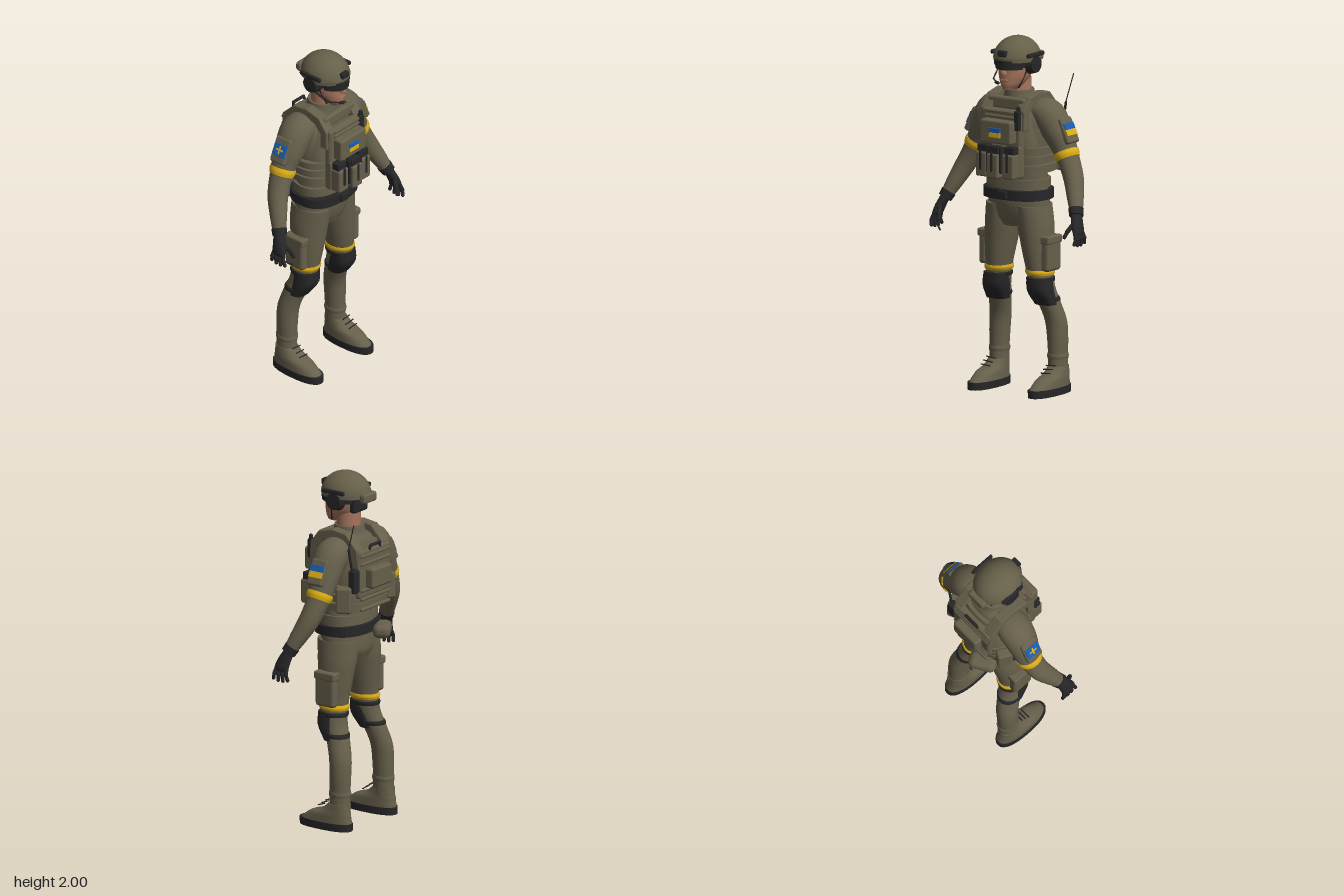
import * as THREE from 'three';
import { RoundedBoxGeometry } from 'three/addons/geometries/RoundedBoxGeometry.js';

const material = (name, color) => Object.assign(new THREE.MeshStandardMaterial({ color }), { name });

export function createModel() {
  const model = new THREE.Group();
  model.name = 'soldier';
  const olive = material('olive cloth', 0x665f4b), black = material('black gear', 0x262628);
  const skin = material('skin', 0xa5745c), yellow = material('yellow tape', 0xdcae16), blue = material('patch blue', 0x1a5cb4);
  const shell = material('helmet olive', 0x666049);
  shell.side = THREE.DoubleSide;

  const add = (name, geo, mat, parent = model) => {
    const mesh = new THREE.Mesh(geo, mat);
    mesh.name = name;
    parent.add(mesh);
    return mesh;
  };
  const box = (name, mat, [x, y, z], [w, h, d], r = 0.008, parent = model) => {
    const m = add(name, new RoundedBoxGeometry(w, h, d, 2, Math.min(r, w / 2.1, h / 2.1, d / 2.1)), mat, parent);
    m.position.set(x, y, z);
    return m;
  };
  const rod = (name, mat, a, b, r) => {
    const p = new THREE.Vector3(...a), q = new THREE.Vector3(...b), d = q.clone().sub(p);
    const m = add(name, new THREE.CapsuleGeometry(r, d.length(), 4, 10), mat);
    m.position.copy(p).add(q).multiplyScalar(0.5);
    m.quaternion.setFromUnitVectors(new THREE.Vector3(0, 1, 0), d.normalize());
    return m;
  };

  // Skin over [x, y, z, rx, rz] cross-sections listed from top to bottom
  const loft = (name, mat, secs, { pow = 2, tilt = false, steps = 4, n = 32 } = {}) => {
    const path = new THREE.CatmullRomCurve3(secs.map(s => new THREE.Vector3(s[0], s[1], s[2])), false, 'centripetal');
    const radii = new THREE.CatmullRomCurve3(secs.map(s => new THREE.Vector3(s[3], s[4], 0)), false, 'catmullrom', 0.4);
    const count = (secs.length - 1) * steps, pos = [], idx = [], down = new THREE.Vector3(0, -1, 0);
    const soft = v => Math.sign(v) * Math.abs(v) ** (2 / pow);
    for (let i = 0; i <= count; i++) {
      const c = path.getPoint(i / count), r = radii.getPoint(i / count);
      const q = new THREE.Quaternion();
      if (tilt) q.setFromUnitVectors(down, path.getTangent(i / count));
      for (let j = 0; j < n; j++) {
        const a = j / n * Math.PI * 2;
        const v = new THREE.Vector3(soft(Math.cos(a)) * r.x, 0, soft(Math.sin(a)) * r.y).applyQuaternion(q).add(c);
        pos.push(v.x, v.y, v.z);
        if (i < count) {
          const k = i * n + j, l = i * n + (j + 1) % n;
          idx.push(k, l, k + n, l, l + n, k + n);
        }
      }
    }
    // separate cap rings keep the end edges crisp
    for (const [row, flip] of [[0, false], [count, true]]) {
      const base = pos.length / 3, c = path.getPoint(row / count);
      for (let j = 0; j < n * 3; j++) { if (j < n * 3) pos.push(pos[row * n * 3 + j]); if (j === n * 3 - 1) break; }
      pos.push(c.x, c.y, c.z);
      for (let j = 0; j < n; j++) {
        const k = base + j, l = base + (j + 1) % n;
        idx.push(base + n, flip ? k : l, flip ? l : k);
      }
    }
    const g = new THREE.BufferGeometry();
    g.setAttribute('position', new THREE.Float32BufferAttribute(pos, 3));
    g.setIndex(idx);
    g.computeVertexNormals();
    return add(name, g, mat);
  };
  const side = (s, secs) => secs.map(([x, ...rest]) => [x * s, ...rest]);

  // Head and neck
  loft('head', skin, [[0, 1.93, .02, .085, .11], [0, 1.86, .022, .09, .115], [0, 1.79, .03, .083, .108], [0, 1.745, .048, .064, .09], [0, 1.71, .075, .035, .055]]);
  loft('neck', skin, [[0, 1.79, -.005, .066, .068], [0, 1.62, -.005, .07, .07]]);
  loft('nose', skin, [[0, 1.85, .13, .01, .012], [0, 1.815, .14, .015, .022], [0, 1.8, .138, .018, .02]], { n: 12 });
  box('lips', skin, [0, 1.765, .132], [.045, .014, .016]);

  // Helmet with rim, mount, rails and counterweight
  const dome = add('helmet', new THREE.SphereGeometry(1, 40, 20, 0, Math.PI * 2, 0, Math.PI * .5), shell);
  dome.scale.set(.126, .125, .146);
  dome.position.set(0, 1.875, .012);
  loft('helmetRim', olive, [[0, 1.89, .012, .127, .147], [0, 1.868, .01, .127, .146]]);
  box('helmetMount', black, [0, 1.918, .152], [.055, .035, .03]);
  box('helmetCounterweight', olive, [0, 1.872, -.14], [.12, .055, .04], .015);
  loft('headBand', black, [[0, 1.875, .015, .1, .118], [0, 1.835, .015, .1, .12]]);
  box('napePad', black, [0, 1.825, -.075], [.13, .09, .04], .015);
  const lens = add('goggles', new THREE.CylinderGeometry(1, .96, .052, 24, 1, false, -1.15, 2.3), black);
  lens.scale.set(.1, 1, .145);
  lens.position.set(0, 1.853, .023);
  for (const s of [-1, 1]) {
    const cup = add('earCup', new THREE.CylinderGeometry(.046, .057, .04, 24), black);
    cup.rotation.z = -s * Math.PI / 2;
    cup.position.set(s * .11, 1.85, .008);
    box('helmetRail', black, [s * .123, 1.905, .01], [.02, .025, .15]);
    rod('chinStrap', black, [s * .09, 1.83, .04], [s * .055, 1.725, .07], .006);
  }
  rod('microphoneBoom', black, [-.115, 1.81, .03], [-.085, 1.765, .12], .004);
  rod('microphoneBoom', black, [-.085, 1.765, .12], [-.03, 1.752, .158], .004);
  rod('microphone', black, [-.04, 1.754, .155], [-.022, 1.752, .16], .009);

  // Jacket, collar and hips
  loft('jacket', olive, [[0, 1.70, -.01, .078, .085], [0, 1.66, -.012, .09, .092], [0, 1.62, -.02, .16, .105], [0, 1.55, -.01, .195, .125], [0, 1.42, 0, .19, .135], [0, 1.28, 0, .175, .13], [0, 1.18, -.005, .178, .125], [0, 1.08, -.005, .188, .13], [0, 1, -.012, .18, .122], [0, .94, -.012, .1, .1]]);
  loft('jacketHem', olive, [[0, 1.21, -.003, .188, .132], [0, 1.16, -.003, .188, .134]], { pow: 2.4 });
  loft('belt', black, [[0, 1.15, 0, .2, .152], [0, 1.095, 0, .2, .152]], { pow: 2.5 });
  box('beltBuckle', black, [0, 1.122, .152], [.06, .05, .02]);
  box('hipPouch', olive, [-.084, 1.1, -.175], [.16, .08, .1], .035).rotation.y = .55;

  // Plate carrier
  loft('vest', olive, [[0, 1.62, -.02, .125, .125], [0, 1.54, -.02, .155, .148], [0, 1.4, -.02, .178, .158], [0, 1.24, -.02, .175, .152]], { pow: 3.5, n: 48 });
  for (const y of [1.275, 1.325, 1.375]) loft('cummerbund', olive, [[0, y + .02, -.02, .212, .166], [0, y - .02, -.02, .21, .166]], { pow: 2.8, steps: 1, n: 48 });
  const arch = new THREE.Shape([[.148, 1.5], [.145, 1.6], [.09, 1.67], [0, 1.692], [-.09, 1.68], [-.165, 1.6], [-.18, 1.5], [-.14, 1.5], [-.13, 1.58], [-.07, 1.64], [0, 1.655], [.07, 1.63], [.11, 1.58], [.11, 1.5]].map(p => new THREE.Vector2(...p)));
  for (const s of [-1, 1]) {
    const strap = add('shoulderStrap', new THREE.ExtrudeGeometry(arch, { depth: .05, bevelSize: .006, bevelThickness: .006, bevelSegments: 2 }), olive);
    strap.rotation.y = -Math.PI / 2;
    strap.position.x = s * .118 + .025;
    box('sidePouch', olive, [s * .205, 1.325, -.125], [.06, .15, .09], .015).rotation.y = s * .5;
  }
  box('collarGuard', olive, [0, 1.635, .1], [.25, .07, .04], .015);
  box('chestPlate', olive, [0, 1.49, .145], [.27, .24, .05], .02);
  box('adminPouch', olive, [0, 1.487, .19], [.21, .13, .065], .012);
  for (const y of [1.567, 1.595]) box('chestWebbing', olive, [0, y, .17], [.21, .018, .016]);
  box('chestPatchTop', blue, [0, 1.497, .225], [.076, .027, .008], .002);
  box('chestPatchBottom', yellow, [0, 1.47, .225], [.076, .027, .008], .002);
  box('pouchPanel', olive, [0, 1.32, .15], [.27, .18, .05], .012);
  for (const x of [-.09, 0, .09]) {
    const d = x ? 0 : .022;
    box('magazinePouch', olive, [x, 1.3, .195 + d], [.078, .14, .075], .012);
    box('magazineTop', black, [x, 1.388, .195 + d], [.07, .045, .05], .006);
    box('pouchStrap', black, [x, 1.325, .235 + d], [.014, .11, .008], .003);
    if (x) box('toolHandle', black, [x / 2, 1.335, .225], [.013, .15, .025], .005);
  }
  box('chestRadio', black, [.115, 1.555, .165], [.036, .11, .035]);
  rod('radioKnob', black, [.12, 1.6, .165], [.12, 1.625, .165], .012);

  // Back panel
  box('backPlate', olive, [0, 1.46, -.165], [.29, .28, .05], .02);
  box('backPouch', olive, [0, 1.437, -.21], [.18, .115, .06], .015);
  for (const y of [1.26, 1.32, 1.37, 1.52, 1.565]) box('backWebbing', olive, [0, y, -.188], [.27, .02, .018]);
  rod('dragHandle', black, [-.04, 1.615, -.188], [.04, 1.615, -.188], .009);
  for (const s of [-1, 1]) rod('handleEnd', black, [s * .042, 1.615, -.188], [s * .05, 1.58, -.18], .008);
  box('backRadio', black, [.165, 1.43, -.165], [.05, .13, .045]);
  rod('antennaBase', black, [.18, 1.48, -.165], [.207, 1.62, -.16], .007);
  rod('antenna', black, [.207, 1.62, -.158], [.224, 1.775, -.208], .003);

  // Limb cross-sections and bands that follow them
  const arm = [[.11, 1.6, -.03, .065, .085], [.185, 1.565, -.03, .09, .098], [.245, 1.48, -.03, .083, .09], [.29, 1.39, -.035, .068, .074], [.325, 1.32, -.03, .06, .065], [.37, 1.23, -.01, .055, .06], [.41, 1.14, .03, .046, .05], [.44, 1.07, .063, .036, .04]];
  const leg = [[.1, 1.06, -.005, .09, .122], [.11, .95, -.01, .096, .116], [.122, .85, -.008, .088, .104], [.138, .7, -.008, .071, .085], [.15, .6, -.02, .065, .076], [.17, .5, -.06, .06, .068], [.19, .4, -.09, .06, .064], [.198, .3, -.095, .057, .062], [.2, .2, -.095, .052, .06], [.202, .1, -.095, .053, .062]];
  const at = (limb, y, grow) => {
    const i = Math.max(1, limb.findIndex(c => c[1] <= y)), a = limb[i - 1], b = limb[i], t = (a[1] - y) / (a[1] - b[1]);
    return a.map((v, k) => v + (b[k] - v) * t + (k > 2 ? grow : 0));
  };
  const band = (name, mat, s, limb, y, h, grow, tilt) =>
    loft(name, mat, side(s, [at(limb, y + h / 2, grow * .5), at(limb, y, grow), at(limb, y - h / 2, grow * .5)]), { tilt });

  for (const s of [-1, 1]) {
    // Arms, sleeve pockets and patches
    loft('arm', olive, side(s, arm), { tilt: true });
    band('armBand', yellow, s, arm, 1.355, .038, .007, true);
    const sleeve = new THREE.Group();
    sleeve.name = 'sleevePocket';
    sleeve.position.set(s * .257, 1.455, -.03);
    sleeve.rotation.z = s * .44;
    model.add(sleeve);
    box('pocket', olive, [s * .07, .01, 0], [.035, .15, .105], .012, sleeve);
    box('patchTop', blue, [s * .089, .03, 0], [.007, .036, .09], .002, sleeve);
    box('patchBottom', s > 0 ? yellow : blue, [s * .089, -.006, 0], [.007, .036, .09], .002, sleeve);
    if (s < 0) for (const [y, h, d] of [[.012, .05, .01], [.012, .01, .05]]) box('patchCross', yellow, [-.092, y, 0], [.006, h, d], .002, sleeve);

    // Gloves
    loft('gloveCuff', black, side(s, [[.435, 1.08, .057, .042, .044], [.45, 1.045, .075, .038, .042]]), { tilt: true });
    loft('glovePalm', black, side(s, [[.445, 1.06, .068, .03, .034], [.465, 1.01, .088, .027, .042], [.48, .965, .098, .022, .046], [.484, .945, .1, .015, .04]]));
    for (let i = 0; i < 4; i++) {
      const z = .065 + i * .022, tip = .052 + i * .032, y = .885 + Math.abs(i - 1.5) * .008;
      rod('finger', black, [s * .482, .96, z], [s * .494, .925, (z + tip) / 2], .0115);
      rod('fingerTip', black, [s * .494, .925, (z + tip) / 2], [s * .488, y, tip], .01);
    }
    rod('thumb', black, [s * .46, 1.01, .11], [s * .44, .965, .145], .013);
    rod('thumbTip', black, [s * .44, .965, .145], [s * .43, .935, .16], .011);

    // Trousers, thigh pockets, knee pads and bands
    loft('leg', olive, side(s, leg));
    box('thighPocket', olive, [s * .213, .785, -.012], [.055, .18, .13], .02);
    box('thighPocketFlap', olive, [s * .212, .873, -.012], [.064, .045, .138], .01);
    band('legBand', yellow, s, leg, .685, .03, .008);
    for (const y of [.645, .53]) band('kneeStrap', black, s, leg, y, .024, .005);
    loft('kneePad', black, side(s, [[.146, .655, .006, .068, .066], [.152, .58, .002, .071, .068], [.165, .5, -.035, .064, .054]]), { pow: 2.6 });
    band('bootCuff', olive, s, leg, .205, .03, .005);

    // Boots
    loft('boot', olive, side(s, [[.203, .15, -.095, .053, .062], [.205, .115, -.075, .056, .085], [.206, .085, -.035, .061, .13], [.206, .04, -.008, .063, .164]]), { pow: 2.3 });
    loft('bootSole', black, side(s, [[.207, .042, -.005, .066, .172], [.207, 0, -.005, .065, .172]]), { pow: 2.4 });
    for (let i = 0; i < 3; i++) rod('lace', black, [s * .175, .12 + i * .018, .03 - i * .025], [s * .235, .125 + i * .018, .03 - i * .025], .0035);
  }
  rod('extendedFinger', black, [-.485, .92, .12], [-.428, .878, .15], .005);
  return model;
}
